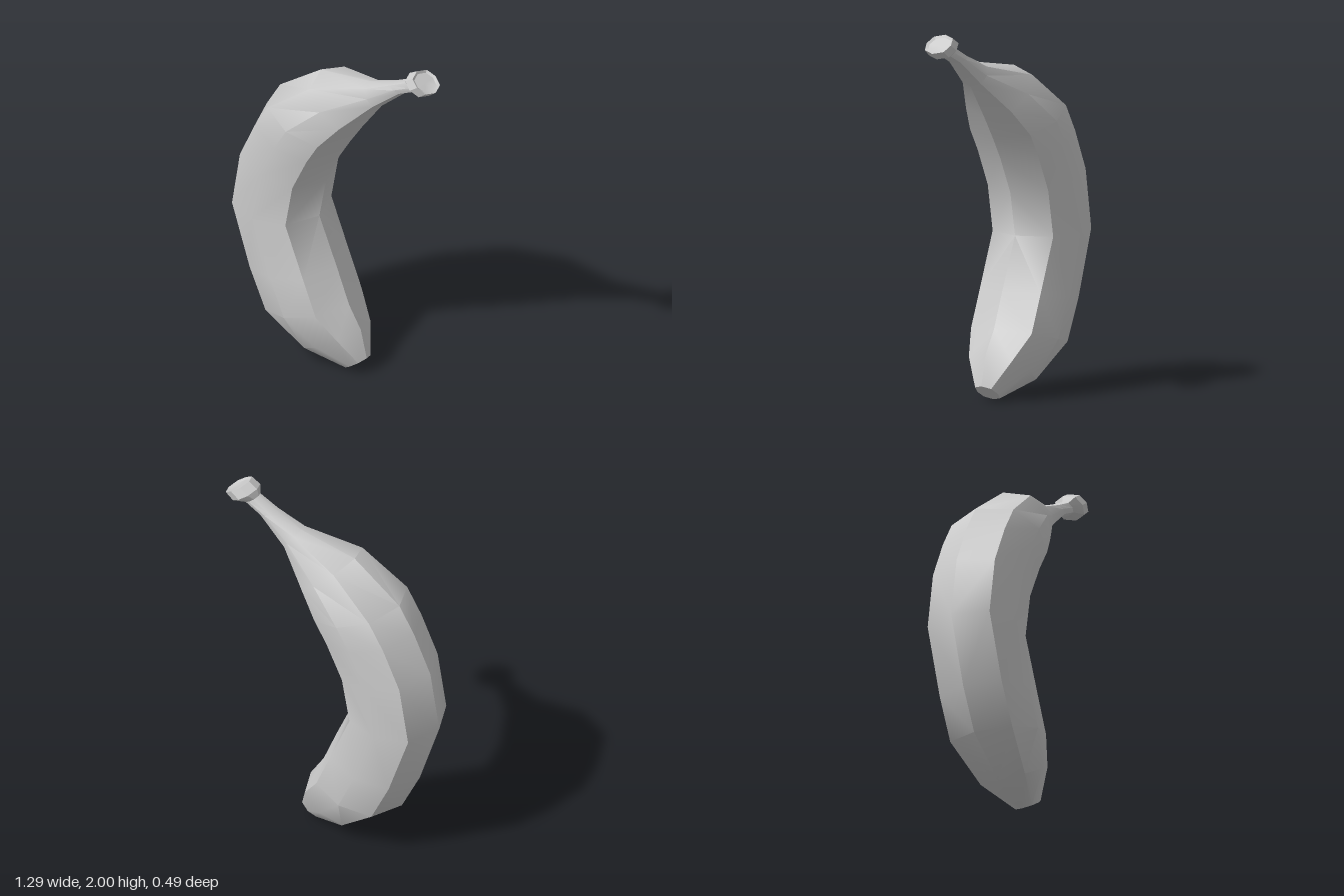
import * as THREE from 'three';
import { toCreasedNormals } from 'three/addons/utils/BufferGeometryUtils.js';

const SIDES = 8;
const DEPTH = [0, 0.775, 1, 0.775, 0, -0.775, -1, -0.775];

// Each ring: outer x, y, inner x, y, half depth in z
const skinRings = [
  [0.06, 0.005, 0.18, 0.09, 0.065],
  [-0.18, 0.07, 0.14, 0.25, 0.175],
  [-0.42, 0.255, 0.06, 0.375, 0.245],
  [-0.53, 0.48, -0.02, 0.57, 0.245],
  [-0.65, 0.845, -0.14, 0.845, 0.245],
  [-0.595, 1.18, -0.095, 1.08, 0.245],
  [-0.495, 1.4, 0, 1.275, 0.245],
  [-0.405, 1.55, 0.07, 1.39, 0.245],
  [-0.13, 1.752, 0.15, 1.51, 0.185],
  [0.2, 1.812, 0.28, 1.69, 0.075],
  [0.35, 1.872, 0.44, 1.835, 0.047],
  [0.46, 1.93, 0.53, 1.88, 0.042],
];
const tipRings = [
  [0.46, 1.93, 0.53, 1.88, 0.042],
  [0.47, 1.97, 0.6, 1.88, 0.08],
  [0.52, 2.0, 0.645, 1.915, 0.076],
  [0.525, 1.985, 0.627, 1.918, 0.062],
];

// Eight-sided loop spanning the outer and inner ridge points
function ringPoints([ox, oy, ix, iy, hz]) {
  return DEPTH.map((d, i) => {
    const c = Math.cos((i / SIDES) * Math.PI * 2);
    return [(ox + ix) / 2 + ((ox - ix) / 2) * c, (oy + iy) / 2 + ((oy - iy) / 2) * c, d * hz];
  });
}

// Skin the rings, closing the first and/or last with a flat fan
function loft(rings, name, capStart, capEnd, crease) {
  const loops = rings.map(ringPoints);
  const pos = [];
  const tri = (...pts) => pts.forEach((p) => pos.push(...p));
  const centre = ([ox, oy, ix, iy]) => [(ox + ix) / 2, (oy + iy) / 2, 0];
  const last = loops.length - 1;
  for (let i = 0; i < SIDES; i++) {
    const j = (i + 1) % SIDES;
    for (let r = 0; r < last; r++) {
      const a = loops[r], b = loops[r + 1];
      // Diagonals mirror across the middle plane
      if (i < SIDES / 2) {
        tri(a[i], a[j], b[j]);
        tri(a[i], b[j], b[i]);
      } else {
        tri(a[i], a[j], b[i]);
        tri(a[j], b[j], b[i]);
      }
    }
    if (capStart) tri(loops[0][j], loops[0][i], centre(rings[0]));
    if (capEnd) tri(loops[last][i], loops[last][j], centre(rings[last]));
  }
  const geometry = new THREE.BufferGeometry();
  geometry.setAttribute('position', new THREE.Float32BufferAttribute(pos, 3));
  const mesh = new THREE.Mesh(
    toCreasedNormals(geometry, THREE.MathUtils.degToRad(crease)),
    new THREE.MeshStandardMaterial({ color: 0xcccccc })
  );
  mesh.name = name;
  return mesh;
}

export function createModel() {
  const banana = new THREE.Group();
  banana.name = 'banana';
  // Curved fruit with its blunt lower end, and the flared stem tip
  banana.add(loft(skinRings, 'skin', true, false, 40));
  banana.add(loft(tipRings, 'stemTip', false, true, 30));
  return banana;
}
